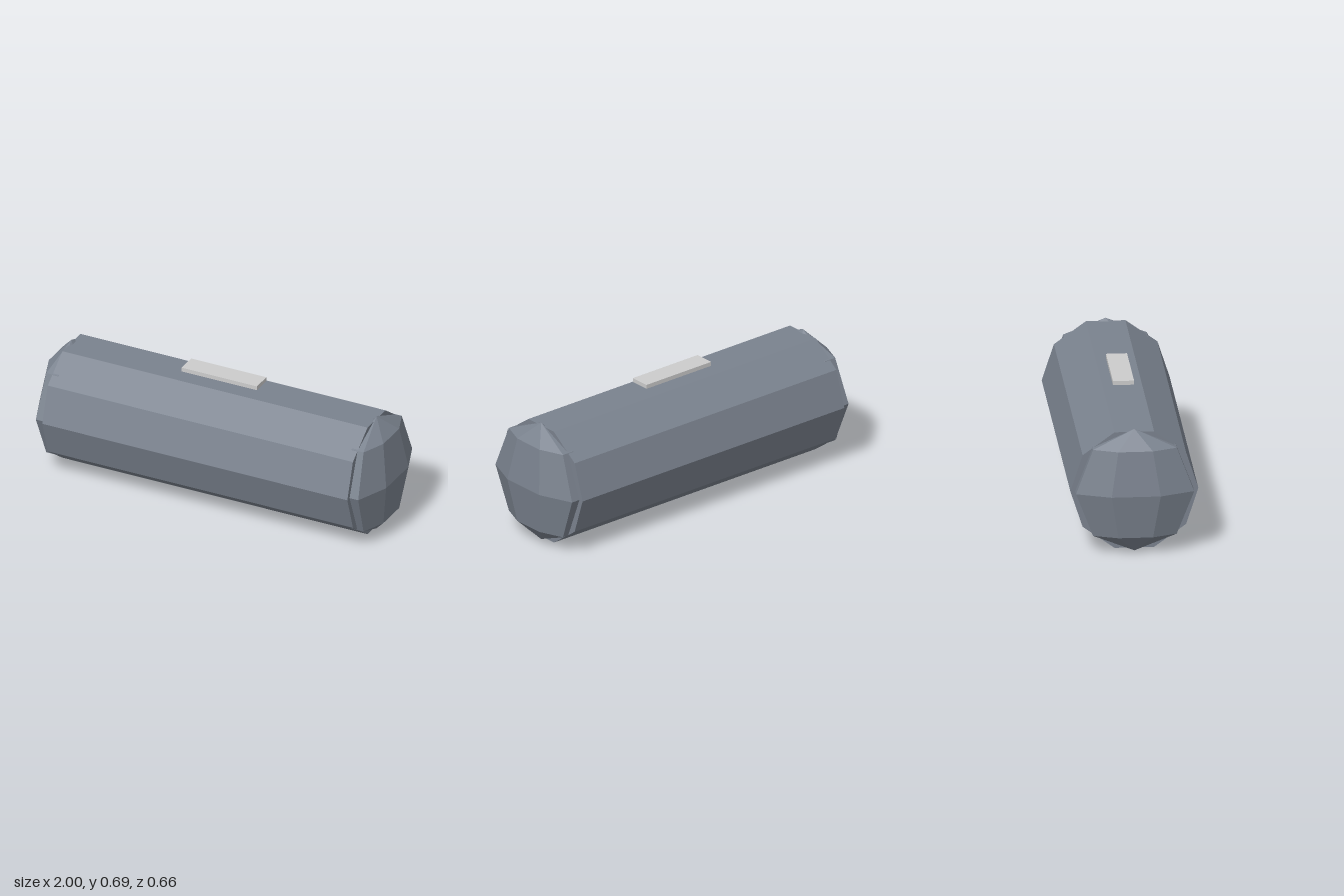
import * as THREE from 'three';

const RADIUS = 0.33;
const HALF_LENGTH = 0.88;

export function createModel() {
  const group = new THREE.Group();

  const steel = new THREE.MeshStandardMaterial({ color: 0x7a828e, flatShading: true });
  steel.name = 'steelGrey';
  const pale = new THREE.MeshStandardMaterial({ color: 0xcccccc, flatShading: true });
  pale.name = 'paleGrey';

  const add = (name, geometry, material, x, y) => {
    const mesh = new THREE.Mesh(geometry, material);
    mesh.name = name;
    mesh.position.set(x, y, 0);
    group.add(mesh);
    return mesh;
  };

  // Ten-sided tank body lying along x
  const body = new THREE.CylinderGeometry(RADIUS, RADIUS, HALF_LENGTH * 2, 10);
  body.rotateZ(Math.PI / 2);
  add('tankBody', body, steel, 0, RADIUS);

  // Domed ends: coarse spheres squashed along x, turned half a segment
  const dome = new THREE.SphereGeometry(RADIUS, 8, 4);
  dome.rotateY(Math.PI / 8);
  dome.scale(0.394, 1, 1);
  add('leftEndDome', dome, steel, HALF_LENGTH, RADIUS);
  add('rightEndDome', dome, steel, -HALF_LENGTH, RADIUS);

  // Thin plate floating just above the top
  add('topPlate', new THREE.BoxGeometry(0.434, 0.022, 0.109), pale, 0, 0.682);

  return group;
}
